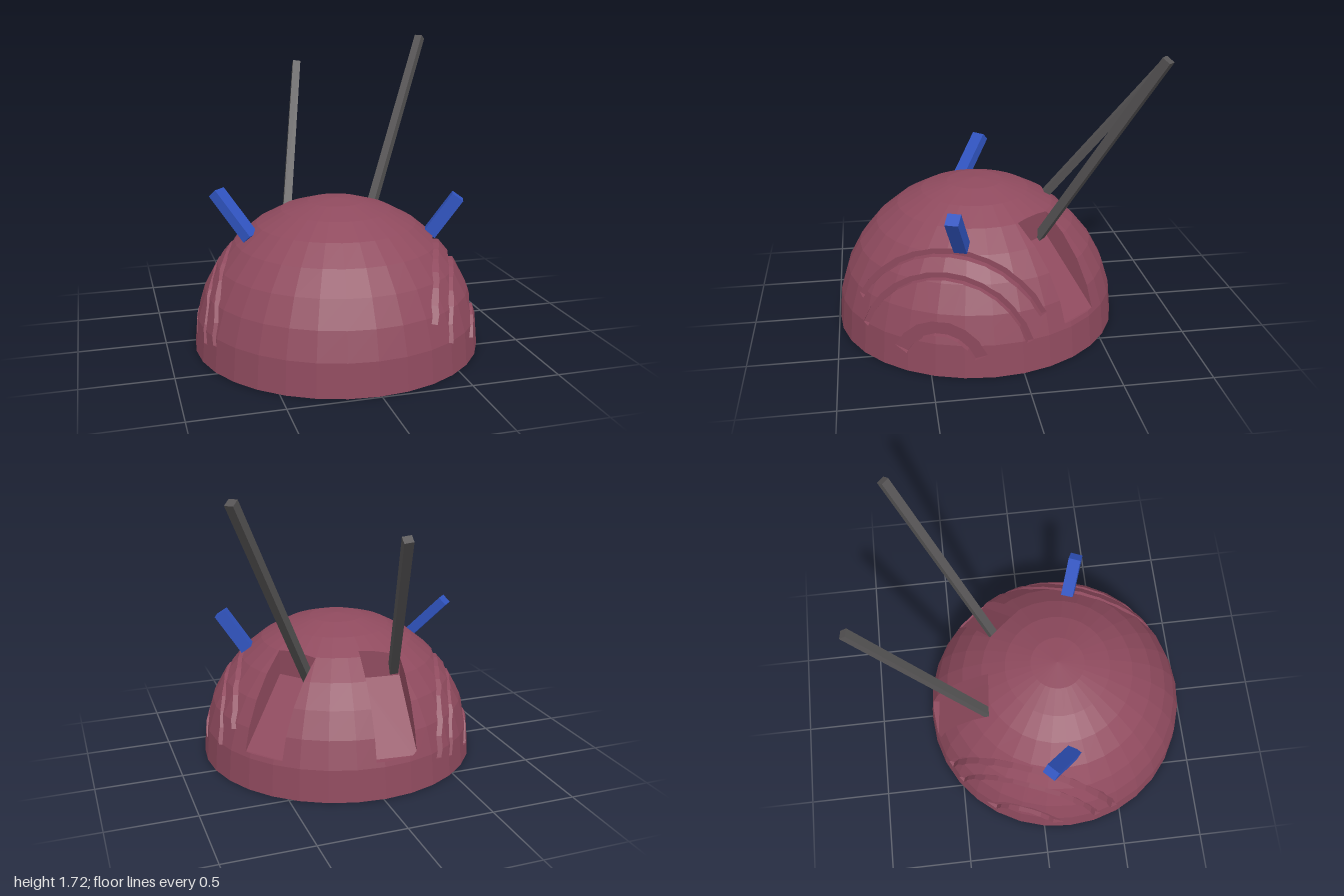
import * as THREE from 'three';

const V = (x, y, z) => new THREE.Vector3(x, y, z);
const R = 0.83, C = V(-0.013, 0.025, 0.163), EPS = 1e-5;

const paint = (color) => new THREE.MeshStandardMaterial({ color, flatShading: true });
const planeOf = (f) => new THREE.Plane().setFromCoplanarPoints(f[0], f[1], f[2]);

// Split a convex polygon by a plane into its parts behind and in front
function split(poly, plane) {
  const back = [], front = [];
  let hasBack = false, hasFront = false;
  poly.forEach((a, i) => {
    const b = poly[(i + 1) % poly.length];
    const da = plane.distanceToPoint(a), db = plane.distanceToPoint(b);
    if (da <= EPS) back.push(a);
    if (da >= -EPS) front.push(a);
    if (da < -EPS) hasBack = true;
    if (da > EPS) hasFront = true;
    if ((da < -EPS && db > EPS) || (da > EPS && db < -EPS)) {
      const m = a.clone().lerp(b, da / (da - db));
      back.push(m);
      front.push(m);
    }
  });
  return [hasBack || !hasFront ? back : null, hasFront ? front : null];
}

// Part of a convex polygon inside a set of planes, plus the pieces left outside
function carve(poly, planes) {
  const outside = [];
  let rest = poly;
  for (const p of planes) {
    const [back, front] = split(rest, p);
    if (front) outside.push(front);
    if (!back || back.length < 3) return { inside: null, outside: [poly] };
    rest = back;
  }
  return { inside: rest, outside };
}

// Faces of a prism, wound outward: one cap, the far cap, then the sides
function prism(profile, ext) {
  const far = profile.map((p) => p.clone().add(ext));
  const faces = [profile.slice(), far];
  profile.forEach((p, i) => {
    const j = (i + 1) % profile.length;
    faces.push([p, profile[j], far[j], far[i]]);
  });
  const mid = V(0, 0, 0);
  [...profile, ...far].forEach((p) => mid.addScaledVector(p, 0.5 / profile.length));
  return faces.map((f) => (planeOf(f).distanceToPoint(mid) > 0 ? f.slice().reverse() : f));
}

// Faceted dome skin with a flat base
function domeFaces() {
  const N = 32, K = 8, faces = [];
  const at = (k, i) => {
    const e = (k / K) * Math.PI / 2, a = (i / N) * Math.PI * 2, r = k === K ? 0 : R * Math.cos(e);
    return V(C.x + r * Math.sin(a), k ? C.y + R * Math.sin(e) : 0, C.z + r * Math.cos(a));
  };
  for (let k = 0; k < K; k++) {
    for (let i = 0; i < N; i++) {
      const f = [at(k, i), at(k, i + 1), at(k + 1, i + 1)];
      if (k < K - 1) f.push(at(k + 1, i));
      faces.push(f);
    }
  }
  faces.push(Array.from({ length: N }, (_, i) => at(0, N - i)));
  return faces;
}

// Arched step cut into a side: a ring of prisms around the sideways axis
function archCuts(sign, rIn, rOut, endDeg, segs) {
  const tilt = THREE.MathUtils.degToRad(21);
  const n = V(Math.cos(tilt), 0, Math.sin(tilt)).multiplyScalar(sign);
  const t = V(-Math.sin(tilt), 0, Math.cos(tilt));
  const depth = Math.sqrt(R * R - rOut * rOut) - 0.012;
  const a0 = THREE.MathUtils.degToRad(endDeg), step = (Math.PI - 2 * a0) / segs;
  const at = (r, a) => C.clone().addScaledVector(n, depth)
    .addScaledVector(t, r * Math.cos(a)).add(V(0, r * Math.sin(a), 0));
  return Array.from({ length: segs }, (_, i) => {
    const a = a0 + i * step, b = a + step;
    const faces = prism([at(rIn, a), at(rOut, a), at(rOut, b), at(rIn, b)], n.clone().multiplyScalar(0.5));
    // floor and both curved walls show; end walls only on the outer segments
    const shown = [0, 3, 5];
    if (i === 0) shown.push(2);
    if (i === segs - 1) shown.push(4);
    return { faces, shown };
  });
}

// Sloping notch in the back that holds a rod
function notchCut(x, z, ux, uz) {
  const u = V(ux, 0, uz).normalize(), w = V(-u.z, 0, u.x).multiplyScalar(0.25);
  const profile = [[0, 1], [0, 0.57], [0.345, 0.215], [0.7, 0.215], [0.7, 1]]
    .map(([d, y]) => V(x, y, z).addScaledVector(u, d).addScaledVector(w, -0.5));
  const faces = prism(profile, w);
  return { faces, shown: faces.map((_, i) => i) };
}

function buildDome() {
  const cuts = [
    ...archCuts(1, 0.575, 0.61, 28, 12), ...archCuts(1, 0.475, 0.51, 18, 12), ...archCuts(1, 0.205, 0.28, 22, 7),
    ...archCuts(-1, 0.54, 0.575, 12, 12), ...archCuts(-1, 0.445, 0.48, 11, 12), ...archCuts(-1, 0.195, 0.265, 14, 7),
    notchCut(-0.125, -0.268, 0.09, -1), notchCut(0.325, -0.125, 0.78, -0.63),
  ];
  let skin = domeFaces();
  const shell = skin.map(planeOf), walls = [];
  for (const { faces, shown } of cuts) {
    const planes = faces.map(planeOf);
    skin = skin.flatMap((f) => carve(f, planes).outside);
    for (const i of shown) {
      const { inside } = carve(faces[i], shell);
      if (inside) walls.push(inside.slice().reverse());
    }
  }
  const pos = [];
  for (const f of [...skin, ...walls]) {
    for (let i = 1; i < f.length - 1; i++) {
      for (const p of [f[0], f[i], f[i + 1]]) pos.push(p.x, p.y, p.z);
    }
  }
  const geo = new THREE.BufferGeometry();
  geo.setAttribute('position', new THREE.Float32BufferAttribute(pos, 3));
  geo.computeVertexNormals();
  return geo;
}

// Square bar from point a to point b; side sets its roll
function bar(name, a, b, width, depth, side, mat) {
  const y = b.clone().sub(a), len = y.length();
  y.normalize();
  const z = side.clone().cross(y).normalize(), x = y.clone().cross(z);
  const mesh = new THREE.Mesh(new THREE.BoxGeometry(width, len, depth), mat);
  mesh.quaternion.setFromRotationMatrix(new THREE.Matrix4().makeBasis(x, y, z));
  mesh.position.copy(a).lerp(b, 0.5);
  mesh.name = name;
  return mesh;
}

export function createModel() {
  const group = new THREE.Group();
  const dome = new THREE.Mesh(buildDome(), paint(0x8f4a5e));
  dome.name = 'dome';
  const grey = paint(0x555354), blue = paint(0x3054c0);
  group.add(
    dome,
    // long rods rising from the notches
    bar('backRod', V(-0.22, 0.58, -0.25), V(0.027, 1.53, -0.98), 0.05, 0.045, V(1, 0, 0.05), grey),
    bar('leftRod', V(0.265, 0.55, -0.165), V(0.81, 1.705, -0.7), 0.05, 0.05, V(0.7, 0, 0.71), grey),
    // short pegs near the top
    bar('rightPeg', V(-0.52, 0.66, 0.2), V(-0.685, 0.9, 0.04), 0.085, 0.06, V(0.7, 0, -0.7), blue),
    bar('leftPeg', V(0.515, 0.64, 0.3), V(0.66, 0.865, 0.36), 0.075, 0.075, V(0.92, 0, 0.38), blue),
  );
  return group;
}
